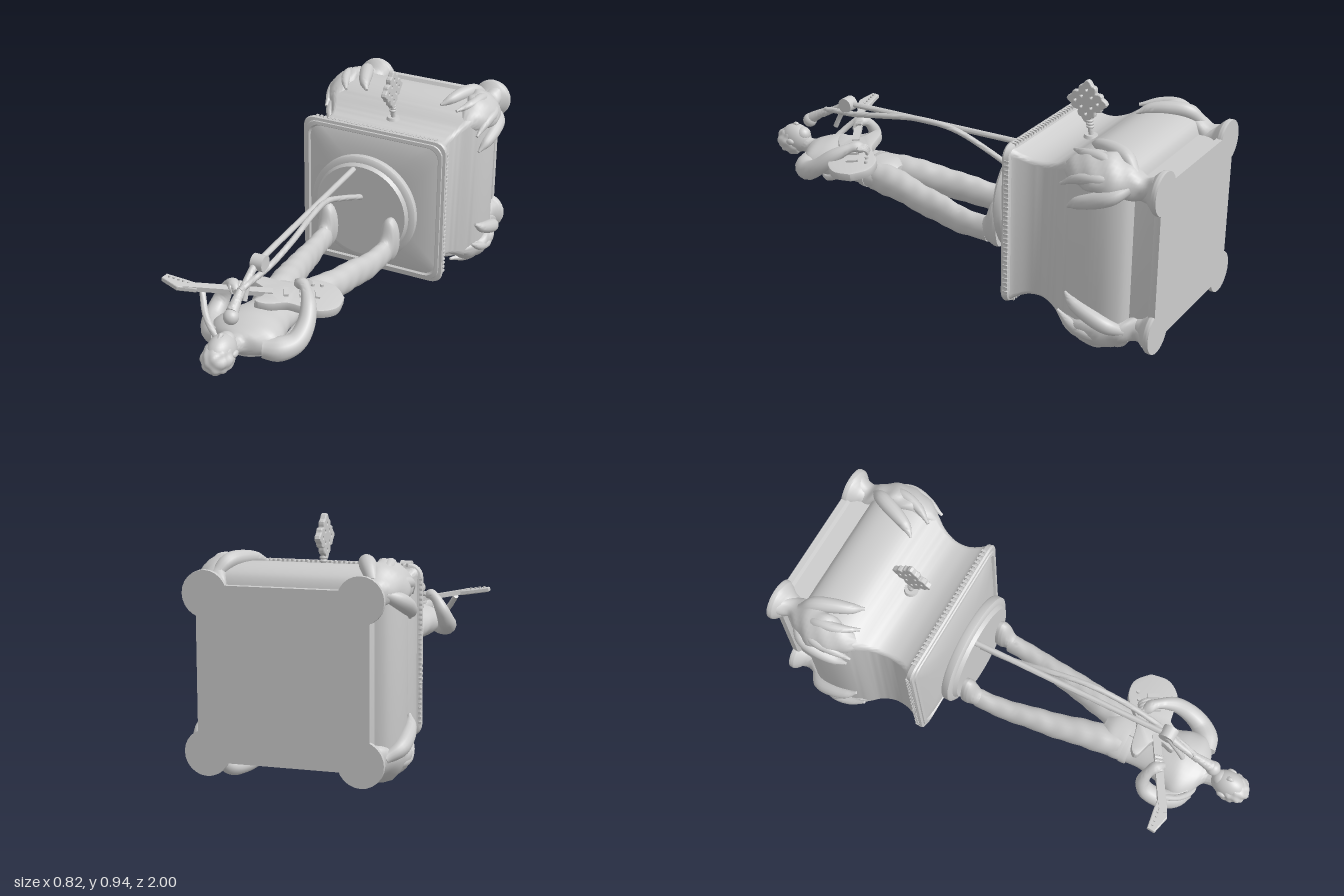
import * as THREE from 'three';
import { mergeGeometries, toCreasedNormals } from 'three/addons/utils/BufferGeometryUtils.js';

const V = (x, y, z) => new THREE.Vector3(x, y, z);
const mat = new THREE.MeshStandardMaterial({ color: 0xcccccc, side: THREE.DoubleSide });

function add(parent, name, geo, x = 0, y = 0, z = 0) {
  const m = new THREE.Mesh(geo, mat);
  m.name = name;
  m.position.set(x, y, z);
  parent.add(m);
  return m;
}

// Skin a list of closed rings and cap both ends
function skin(rings, crease = 0.7) {
  const n = rings[0].length, pos = [], idx = [];
  rings.forEach(r => r.forEach(p => pos.push(p.x, p.y, p.z)));
  for (let i = 0; i < rings.length - 1; i++) for (let j = 0; j < n; j++) {
    const a = i * n + j, b = i * n + (j + 1) % n;
    idx.push(a, b, a + n, b, b + n, a + n);
  }
  [0, rings.length - 1].forEach((k, end) => {
    const c = rings[k].reduce((s, p) => s.add(p), V(0, 0, 0)).divideScalar(n);
    pos.push(c.x, c.y, c.z);
    const ci = pos.length / 3 - 1;
    for (let j = 0; j < n; j++) {
      const a = k * n + j, b = k * n + (j + 1) % n;
      end ? idx.push(ci, a, b) : idx.push(ci, b, a);
    }
  });
  const g = new THREE.BufferGeometry();
  g.setAttribute('position', new THREE.Float32BufferAttribute(pos, 3));
  g.setIndex(idx);
  return toCreasedNormals(g, crease);
}

// Smoothly resample rows of numbers
function smooth(rows, steps) {
  const cols = rows[0].map((_, c) => new THREE.SplineCurve(rows.map((r, i) => new THREE.Vector2(i, r[c]))));
  return Array.from({ length: steps + 1 }, (_, i) => cols.map(c => c.getPoint(i / steps).y));
}

// Elliptical sections stacked along z: [cx, cy, z, rx, ry]
function ellipses(rows, steps = 32, ripple = 0, n = 24) {
  return skin(smooth(rows, steps).map(([cx, cy, z, rx, ry]) => Array.from({ length: n }, (_, j) => {
    const a = j / n * Math.PI * 2, k = 1 + ripple * Math.sin(z * 75 + 2 * Math.sin(a * 2));
    return V(cx + Math.cos(a) * rx * k, cy + Math.sin(a) * ry * k, z);
  })));
}

// Rounded squares stacked along z: [z, half width, corner radius]
function squares(rows) {
  return skin(rows.map(([z, h, r]) => {
    const ring = [];
    for (let q = 0; q < 4; q++) for (let k = 0; k <= 6; k++) {
      const m = q * Math.PI / 2, a = m + k / 6 * Math.PI / 2, s = (h - r) * Math.SQRT2;
      ring.push(V(Math.cos(m + Math.PI / 4) * s + Math.cos(a) * r, Math.sin(m + Math.PI / 4) * s + Math.sin(a) * r, z));
    }
    return ring;
  }), 0.5);
}

// Round limb along a curve: [x, y, z, radius]
function limb(rows, steps = 24, n = 14) {
  const curve = new THREE.CatmullRomCurve3(rows.map(r => V(r[0], r[1], r[2])));
  const f = curve.computeFrenetFrames(steps), radii = smooth(rows.map(r => [r[3]]), steps);
  return skin(radii.map(([r], i) => {
    const p = curve.getPoint(i / steps);
    return Array.from({ length: n }, (_, j) => {
      const a = j / n * Math.PI * 2;
      return p.clone().addScaledVector(f.normals[i], Math.cos(a) * r).addScaledVector(f.binormals[i], Math.sin(a) * r);
    });
  }));
}

const disc = (r1, r2, h) => new THREE.CylinderGeometry(r1, r2, h, 64).rotateX(Math.PI / 2);

function makeBox() {
  const g = new THREE.Group();
  g.name = 'musicBox';
  g.position.y = 0.4;
  // Swelling body
  const body = smooth([[-0.89, 0.3, 0.03], [-0.87, 0.34, 0.05], [-0.82, 0.366, 0.06], [-0.75, 0.372, 0.05], [-0.68, 0.362, 0.04],
    [-0.62, 0.335, 0.03], [-0.57, 0.303, 0.02], [-0.51, 0.285, 0.02], [-0.45, 0.287, 0.02], [-0.4, 0.305, 0.02], [-0.38, 0.32, 0.03]], 40);
  add(g, 'body', squares(body));
  add(g, 'plinth', squares([[-1, 0.315, 0.03], [-0.975, 0.315, 0.03], [-0.965, 0.3, 0.03], [-0.88, 0.3, 0.03]]));
  // Lid with stepped rim and pillow top
  add(g, 'lid', squares([[-0.385, 0.315, 0.04], [-0.378, 0.328, 0.045], [-0.36, 0.333, 0.05], [-0.352, 0.33, 0.05], [-0.35, 0.318, 0.05],
    [-0.345, 0.316, 0.05], [-0.343, 0.303, 0.05], [-0.352, 0.297, 0.05], [-0.345, 0.28, 0.06], [-0.334, 0.24, 0.07], [-0.326, 0.18, 0.08], [-0.322, 0.1, 0.08]]));
  // Fine ribbing around the lid
  const ribs = [];
  for (let q = 0; q < 4; q++) for (let i = 0; i < 30; i++)
    ribs.push(new THREE.BoxGeometry(0.009, 0.012, 0.02).translate(-0.275 + i * 0.019, 0.328, -0.372).rotateZ(q * Math.PI / 2));
  add(g, 'lidRibbing', mergeGeometries(ribs));
  // Corner leaves flowing into round feet
  for (let q = 0; q < 4; q++) {
    const c = new THREE.Group();
    c.name = 'cornerLeaf';
    c.rotation.z = Math.PI / 4 + q * Math.PI / 2;
    add(c, 'leaf', ellipses([[0, 0.425, -0.965, 0.045, 0.045], [0, 0.40, -0.92, 0.045, 0.05], [0, 0.43, -0.87, 0.065, 0.05], [0, 0.46, -0.8, 0.085, 0.05],
      [0, 0.465, -0.72, 0.075, 0.045], [0, 0.45, -0.65, 0.05, 0.035], [0, 0.425, -0.59, 0.008, 0.008]], 30, 0.06));
    add(c, 'foot', ellipses([[0, 0.4, -1, 0.084, 0.084], [0, 0.4, -0.982, 0.084, 0.084], [0, 0.4, -0.965, 0.07, 0.07], [0, 0.395, -0.94, 0.05, 0.05], [0, 0.39, -0.9, 0.04, 0.04]], 20));
    for (const s of [-1, 1]) {
      add(c, 'outerLobe', limb([[s * 0.03, 0.44, -0.88, 0.02], [s * 0.08, 0.45, -0.83, 0.03], [s * 0.105, 0.435, -0.76, 0.03], [s * 0.12, 0.41, -0.69, 0.022], [s * 0.13, 0.38, -0.65, 0.006]]));
      add(c, 'innerLobe', limb([[s * 0.01, 0.46, -0.85, 0.018], [s * 0.04, 0.49, -0.77, 0.022], [s * 0.05, 0.475, -0.69, 0.02], [s * 0.07, 0.44, -0.62, 0.006]]));
    }
    g.add(c);
  }
  // Round stage
  add(g, 'stageNeck', disc(0.1, 0.1, 0.05), 0, 0, -0.31);
  const prof = [[0, -0.293], [0.235, -0.293], [0.24, -0.285], [0.24, -0.262], [0.232, -0.255], [0.215, -0.252], [0.205, -0.236], [0, -0.236]];
  add(g, 'stage', toCreasedNormals(new THREE.LatheGeometry(prof.map(p => new THREE.Vector2(...p)), 64).rotateX(Math.PI / 2), 0.6));
  return g;
}

function makeKey() {
  const g = new THREE.Group();
  g.name = 'windingKey';
  // Lobed, pierced handle
  const s = new THREE.Shape(Array.from({ length: 72 }, (_, i) => {
    const a = i / 72 * Math.PI * 2, r = 0.065 + 0.012 * Math.cos(4 * a) + 0.005 * Math.cos(12 * a);
    return new THREE.Vector2(Math.cos(a) * r, Math.sin(a) * r);
  }));
  for (let k = 0; k < 8; k++) {
    const a = k * Math.PI / 4, r = k % 2 ? 0.03 : 0.048;
    s.holes.push(new THREE.Path().absarc(Math.cos(a) * r, Math.sin(a) * r, 0.008, 0, Math.PI * 2, true));
  }
  add(g, 'handle', new THREE.ExtrudeGeometry(s, { depth: 0.014, bevelSize: 0.004, bevelThickness: 0.005, bevelSegments: 2 })
    .translate(0, 0, -0.007).rotateY(Math.PI / 2), 0, 0.843, -0.53);
  add(g, 'stem', limb([[0, 0.67, -0.555, 0.011], [0, 0.74, -0.545, 0.01], [0, 0.79, -0.535, 0.011]]));
  add(g, 'collar', new THREE.CylinderGeometry(0.025, 0.03, 0.012, 24), 0, 0.705, -0.55);
  for (let i = 0; i < 3; i++) add(g, 'bead', new THREE.TorusGeometry(0.011, 0.005, 8, 20).rotateX(Math.PI / 2), 0, 0.742 + i * 0.012, -0.545 + i * 0.002);
  return g;
}

function makeGuitar() {
  const g = new THREE.Group();
  g.name = 'guitar';
  const x = V(-0.365, 0.054, 0.22).normalize(), n = V(0.147, 0.99, 0).normalize();
  g.matrix.makeBasis(x, n.clone().cross(x), n).setPosition(0.165, 0.4, 0.475);
  g.matrix.decompose(g.position, g.quaternion, g.scale);
  // Body outline with two horns; neck runs along local x
  const outline = new THREE.SplineCurve([[-0.1, 0], [-0.07, 0.07], [0, 0.098], [0.07, 0.075], [0.12, 0.06], [0.19, 0.075], [0.235, 0.06], [0.2, 0.02],
    [0.2, -0.025], [0.255, -0.085], [0.22, -0.1], [0.12, -0.07], [0.07, -0.078], [0, -0.098], [-0.07, -0.07], [-0.1, 0]].map(p => new THREE.Vector2(...p)));
  const plate = (shape, depth) => new THREE.ExtrudeGeometry(shape, { depth, bevelSize: 0.004, bevelThickness: 0.004, bevelSegments: 2 });
  add(g, 'guitarBody', toCreasedNormals(plate(new THREE.Shape(outline.getPoints(70).reverse()), 0.028), 0.6), 0, 0, -0.016);
  add(g, 'neck', new THREE.BoxGeometry(0.34, 0.032, 0.02), 0.34, 0, 0.012);
  const head = new THREE.Shape([[0.46, -0.016], [0.49, -0.03], [0.57, -0.062], [0.585, -0.04], [0.53, 0.012], [0.46, 0.016]].map(p => new THREE.Vector2(...p)));
  add(g, 'headstock', plate(head, 0.012), 0, 0, 0.003);
  for (const px of [0, 0.06, 0.12]) add(g, 'pickup', new THREE.BoxGeometry(0.018, 0.05, 0.01), px, 0, 0.02);
  for (let i = 0; i < 3; i++) add(g, 'knob', disc(0.007, 0.008, 0.012), -0.02 + i * 0.035, -0.06, 0.02);
  for (let i = 0; i < 5; i++) add(g, 'tuningPeg', disc(0.005, 0.005, 0.012), 0.49 + i * 0.018, -0.012 - i * 0.008, 0.02);
  return g;
}

function makeFigure() {
  const g = new THREE.Group();
  g.name = 'guitarist';
  for (const s of [-1, 1]) {
    const row = (x, y, z, rx, ry) => [s * x, y, z, rx, ry];
    add(g, 'trouserLeg', ellipses([row(0.14, 0.265, -0.18, 0.036, 0.056), row(0.138, 0.265, -0.12, 0.038, 0.052), row(0.128, 0.265, -0.03, 0.042, 0.058), row(0.112, 0.28, 0.07, 0.046, 0.062),
      row(0.098, 0.29, 0.17, 0.052, 0.062), row(0.076, 0.308, 0.28, 0.058, 0.063), row(0.06, 0.313, 0.38, 0.06, 0.066), row(0.055, 0.315, 0.45, 0.05, 0.06)], 60, 0.022));
    add(g, 'shoe', ellipses([row(0.145, 0.305, -0.237, 0.04, 0.1), row(0.145, 0.305, -0.215, 0.042, 0.102), row(0.145, 0.3, -0.195, 0.036, 0.088), row(0.143, 0.275, -0.175, 0.033, 0.058), row(0.14, 0.265, -0.15, 0.032, 0.046)], 20));
  }
  // Torso, belt and neck
  add(g, 'torso', ellipses([[0, 0.315, 0.35, 0.06, 0.045], [0, 0.315, 0.39, 0.108, 0.066], [0, 0.315, 0.45, 0.113, 0.069], [0, 0.318, 0.52, 0.102, 0.066], [0, 0.328, 0.6, 0.11, 0.073],
    [0, 0.335, 0.68, 0.135, 0.078], [0, 0.335, 0.74, 0.145, 0.07], [0, 0.335, 0.785, 0.1, 0.054], [0, 0.338, 0.81, 0.045, 0.04], [0, 0.345, 0.84, 0.034, 0.036], [0, 0.35, 0.88, 0.034, 0.036]], 50, 0.01, 32));
  add(g, 'belt', ellipses([[0, 0.317, 0.465, 0.115, 0.072], [0, 0.317, 0.48, 0.115, 0.072], [0, 0.317, 0.495, 0.112, 0.071]], 4, 0, 32));
  add(g, 'buckle', new THREE.BoxGeometry(0.04, 0.012, 0.028), 0, 0.39, 0.48);
  // Head faces +y
  add(g, 'head', new THREE.SphereGeometry(1, 28, 20).scale(0.052, 0.064, 0.074), 0, 0.366, 0.906);
  add(g, 'nose', limb([[0, 0.42, 0.925, 0.005], [0, 0.432, 0.905, 0.009], [0, 0.428, 0.895, 0.008]], 8));
  add(g, 'jaw', new THREE.SphereGeometry(0.034, 18, 14), 0, 0.39, 0.868);
  for (const s of [-1, 1]) add(g, 'ear', new THREE.SphereGeometry(1, 12, 10).scale(0.01, 0.014, 0.02), s * 0.054, 0.365, 0.9);
  const hair = new THREE.SphereGeometry(1, 48, 32), p = hair.attributes.position;
  for (let i = 0; i < p.count; i++) {
    const [x, y, z] = [p.getX(i), p.getY(i), p.getZ(i)];
    const k = 0.95 + 0.055 * Math.sin(8 * x + 3 * z) * Math.sin(7 * y + 1) + 0.03 * Math.sin(13 * z + 5 * y);
    p.setXYZ(i, x * k, y * k, z * k);
  }
  hair.scale(0.062, 0.066, 0.074).computeVertexNormals();
  add(g, 'hair', hair, 0, 0.351, 0.928);
  // Arms bent to the instrument
  add(g, 'strummingArm', limb([[0.09, 0.325, 0.765, 0.04], [0.145, 0.32, 0.74, 0.048], [0.185, 0.33, 0.69, 0.042], [0.195, 0.37, 0.625, 0.036], [0.175, 0.425, 0.56, 0.03], [0.135, 0.455, 0.51, 0.021], [0.105, 0.455, 0.485, 0.026], [0.075, 0.437, 0.47, 0.012]], 40));
  add(g, 'frettingArm', limb([[-0.09, 0.325, 0.765, 0.04], [-0.14, 0.315, 0.735, 0.046], [-0.175, 0.325, 0.68, 0.041], [-0.18, 0.36, 0.62, 0.036], [-0.165, 0.41, 0.6, 0.029], [-0.135, 0.455, 0.61, 0.022], [-0.105, 0.467, 0.63, 0.026], [-0.085, 0.455, 0.65, 0.014]], 40));
  for (let i = 0; i < 4; i++) {
    add(g, 'strummingFinger', limb([[0.1 + i * 0.012, 0.46, 0.49 - i * 0.006, 0.01], [0.075 + i * 0.012, 0.45, 0.465 - i * 0.006, 0.009], [0.065 + i * 0.012, 0.43, 0.46 - i * 0.006, 0.006]], 8, 8));
    add(g, 'frettingFinger', limb([[-0.12 + i * 0.015, 0.475, 0.625 - i * 0.008, 0.009], [-0.11 + i * 0.015, 0.468, 0.65 - i * 0.008, 0.009], [-0.1 + i * 0.015, 0.445, 0.655 - i * 0.008, 0.006]], 8, 8));
  }
  add(g, 'strap', limb([[-0.21, 0.455, 0.69, 0.012], [-0.15, 0.38, 0.76, 0.013], [-0.08, 0.325, 0.79, 0.013], [0.0, 0.272, 0.76, 0.013], [0.09, 0.265, 0.67, 0.013], [0.13, 0.32, 0.57, 0.013], [0.18, 0.38, 0.52, 0.012]], 40));
  g.add(makeGuitar());
  return g;
}

function makeMicrophone() {
  const g = new THREE.Group();
  g.name = 'microphoneStand';
  add(g, 'pole', limb([[-0.035, 0.588, -0.24, 0.012], [-0.02, 0.588, 0.2, 0.012], [-0.005, 0.588, 0.62, 0.012]]));
  add(g, 'joint', new THREE.CylinderGeometry(0.032, 0.032, 0.05, 24).rotateZ(Math.PI / 2), 0, 0.585, 0.615);
  add(g, 'boom', limb([[-0.01, 0.59, 0.615, 0.016], [-0.012, 0.54, 0.7, 0.014], [-0.01, 0.51, 0.76, 0.018]]));
  add(g, 'clip', limb([[-0.015, 0.595, 0.62, 0.014], [-0.02, 0.52, 0.67, 0.011], [-0.02, 0.46, 0.7, 0.011]]));
  add(g, 'microphone', limb([[-0.012, 0.53, 0.735, 0.014], [-0.008, 0.505, 0.775, 0.019], [-0.004, 0.48, 0.815, 0.024]]));
  add(g, 'microphoneGrille', new THREE.SphereGeometry(0.03, 20, 14), -0.002, 0.466, 0.827);
  add(g, 'cable', limb([[0.0, 0.465, -0.24, 0.012], [-0.01, 0.53, -0.08, 0.012], [0.0, 0.59, 0.08, 0.012], [0.02, 0.607, 0.24, 0.012], [0.03, 0.585, 0.42, 0.012],
    [0.02, 0.555, 0.58, 0.012], [0.0, 0.54, 0.7, 0.012], [-0.01, 0.53, 0.745, 0.012]], 60, 10));
  return g;
}

export function createModel() {
  const model = new THREE.Group();
  model.name = 'musicBoxWithGuitarist';
  model.add(makeBox(), makeKey(), makeFigure(), makeMicrophone());
  return model;
}
